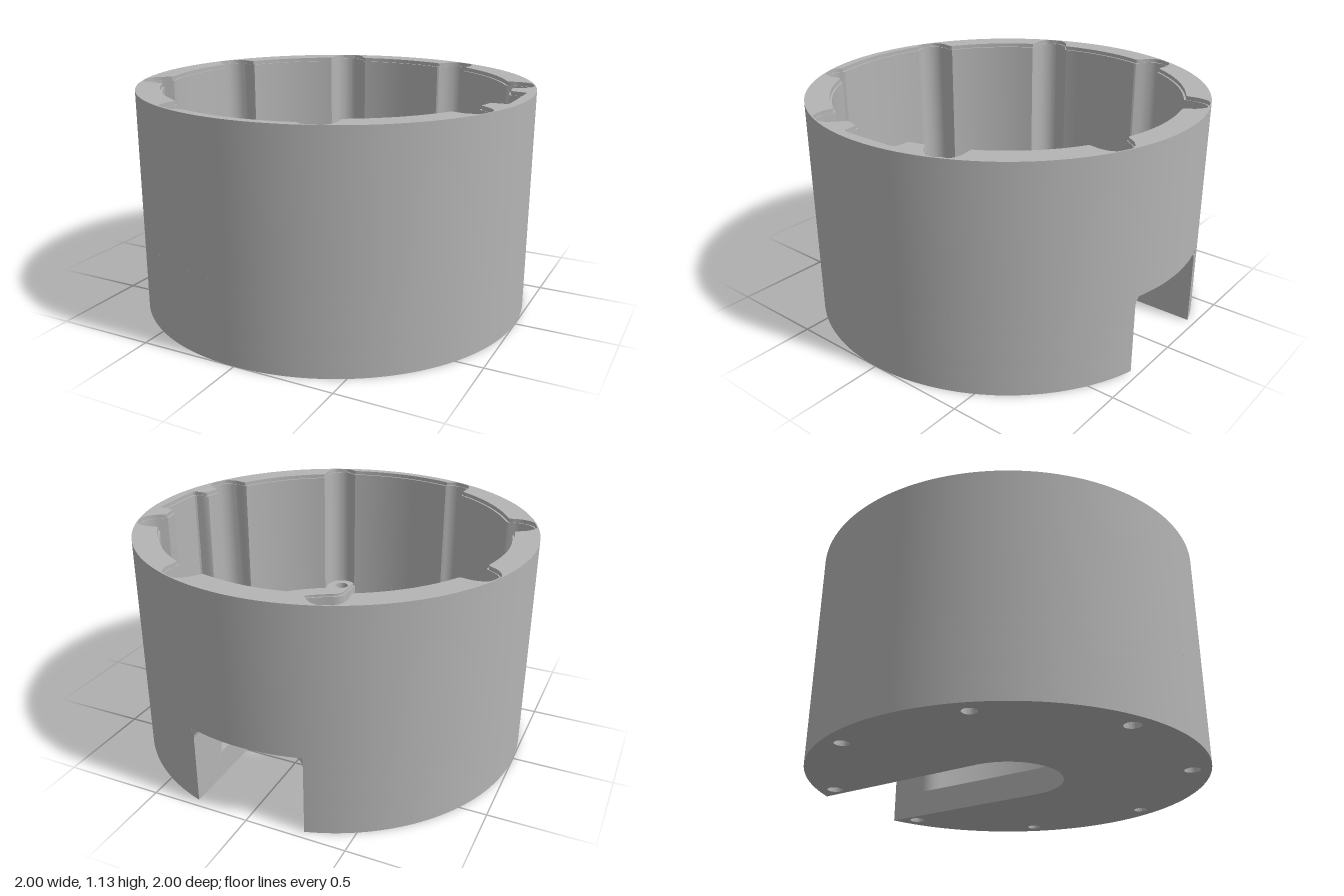
import * as THREE from 'three';
import { toCreasedNormals } from 'three/addons/utils/BufferGeometryUtils.js';

const HEIGHT = 1.13, FLOOR = 0.14, LEDGE = 0.40, SLOT = 0.28;
const BOLT_R = 0.908, BOLT_A = Math.atan2(0.345, 0.84);
// Bolt angles; every other pair sits on the sides
const bolts = [];
for (let q = 0; q < 4; q++)
  for (const s of [-1, 1]) bolts.push({ a: q * Math.PI / 2 + s * BOLT_A, side: q % 2 === 0 });

const polar = (r, a) => new THREE.Vector2(r * Math.cos(a), r * Math.sin(a));
const mix = (a, b, t) => a + (b - a) * THREE.MathUtils.smoothstep(t, 0, 1);

function arc(r, a0, a1, n) {
  return Array.from({ length: n + 1 }, (_, i) => polar(r, a0 + (a1 - a0) * i / n));
}

// Plan shapes use x right and y towards the back; extruded upward
function layer(shape, y0, y1) {
  const g = new THREE.ExtrudeGeometry(shape, { depth: y1 - y0, bevelEnabled: false, curveSegments: 24 });
  g.rotateX(-Math.PI / 2);
  g.translate(0, y0, 0);
  return toCreasedNormals(g, 0.5);
}

function addBoltHoles(shape, sideRadius) {
  for (const b of bolts) {
    const c = polar(BOLT_R, b.a);
    const hole = new THREE.Path();
    hole.absarc(c.x, c.y, b.side ? sideRadius : 0.04, 0, Math.PI * 2, true);
    shape.holes.push(hole);
  }
  return shape;
}

// Outer arc that leaves the rear slot open
function outerArc() {
  const a = Math.asin(SLOT);
  return arc(1, Math.PI / 2 + a, Math.PI * 2.5 - a, 180);
}

function floorShape() {
  return addBoltHoles(new THREE.Shape([...outerArc(), ...arc(SLOT, 0, -Math.PI, 40)]), 0.035);
}

// Ring with rounded shoulders, open at the back and notched at the front
function ledgeShape(grow, sideRadius) {
  const r = 0.76 + grow, w = SLOT + grow, front = 0.945;
  const corner = Math.acos(w / r), cy = r * Math.sin(corner);
  const shoulder = new THREE.QuadraticBezierCurve(
    new THREE.Vector2(w, cy + 0.06), new THREE.Vector2(w, cy), polar(r, corner - 0.09)).getPoints(8);
  const flip = (p) => new THREE.Vector2(p.x, -p.y);
  const frontA = Math.acos(w / front);
  const right = [
    new THREE.Vector2(w, Math.sqrt(1 - SLOT * SLOT) - 0.001),
    ...shoulder,
    ...arc(r, corner - 0.09, -corner + 0.09, 80).slice(1, -1),
    ...shoulder.map(flip).reverse(),
    ...arc(front, -frontA, -Math.PI / 2, 12),
  ];
  const left = right.slice(0, -1).reverse().map((p) => new THREE.Vector2(-p.x, p.y));
  return addBoltHoles(new THREE.Shape([...outerArc(), ...right, ...left]), sideRadius);
}

// Inner wall radius at an angle: plain wall, front notch, side pocket, bolt recesses
function innerRadius(a) {
  const wrap = (d) => Math.atan2(Math.sin(d), Math.cos(d));
  let r = 0.87;
  if (Math.abs(wrap(a + Math.PI / 2)) < 0.31) r = 0.945;
  const side = Math.abs(wrap(a));
  if (side < 0.21) r = mix(Math.min(0.945, 0.937 / Math.cos(side)), 0.87, (side - 0.16) / 0.03);
  for (const b of bolts) {
    const d = Math.abs(wrap(a - b.a)), k = 0.083, edge = 0.082;
    const c = Math.min(d, edge), s = BOLT_R * Math.sin(c);
    const rr = BOLT_R * Math.cos(c) + Math.sqrt(Math.max(0, k * k - s * s));
    if (d < 0.125) r = Math.max(r, mix(rr, r, (d - edge) / 0.035));
  }
  return r;
}

function wallShape(grow) {
  const shape = new THREE.Shape(arc(1, 0, Math.PI * 2, 180).slice(0, -1));
  const n = 720, pts = [];
  for (let i = 0; i < n; i++) {
    const a = -i / n * Math.PI * 2;
    pts.push(polar(Math.min(innerRadius(a) + grow, 0.994), a));
  }
  shape.holes.push(new THREE.Path(pts));
  return shape;
}

// Rounded upper corner of the rear opening
function openingFillet(side) {
  const r = 0.05, s = new THREE.Shape();
  s.moveTo(SLOT, LEDGE);
  s.lineTo(SLOT - r, LEDGE);
  s.absarc(SLOT - r, LEDGE - r, r, Math.PI / 2, 0, true);
  s.lineTo(SLOT, LEDGE);
  const pts = s.getPoints(8).map((p) => new THREE.Vector2(side * p.x, p.y));
  const g = new THREE.ExtrudeGeometry(new THREE.Shape(pts), { depth: 0.09, bevelEnabled: false });
  g.translate(0, 0, -0.96);
  return toCreasedNormals(g, 0.5);
}

export function createModel() {
  const group = new THREE.Group();
  group.name = 'roundHousing';
  const grey = new THREE.MeshStandardMaterial({ color: 0xb4b4b4 });
  grey.name = 'grey';
  const add = (name, geometry) => {
    const mesh = new THREE.Mesh(geometry, grey);
    mesh.name = name;
    group.add(mesh);
  };

  // Slotted base and the raised inner ledge with counterbored side bolts
  add('floor', layer(floorShape(), 0, FLOOR));
  add('ledge', layer(ledgeShape(0, 0.035), FLOOR, 0.30));
  add('ledgeCounterbore', layer(ledgeShape(0, 0.083), 0.30, LEDGE - 0.015));
  add('ledgeLip', layer(ledgeShape(0.01, 0.083), LEDGE - 0.015, LEDGE));

  // Upper wall with a fine step along its rim
  add('wall', layer(wallShape(0), LEDGE, HEIGHT - 0.02));
  add('rim', layer(wallShape(0.01), HEIGHT - 0.02, HEIGHT));

  for (const side of [-1, 1]) add(side < 0 ? 'rightOpeningCorner' : 'leftOpeningCorner', openingFillet(side));
  return group;
}
